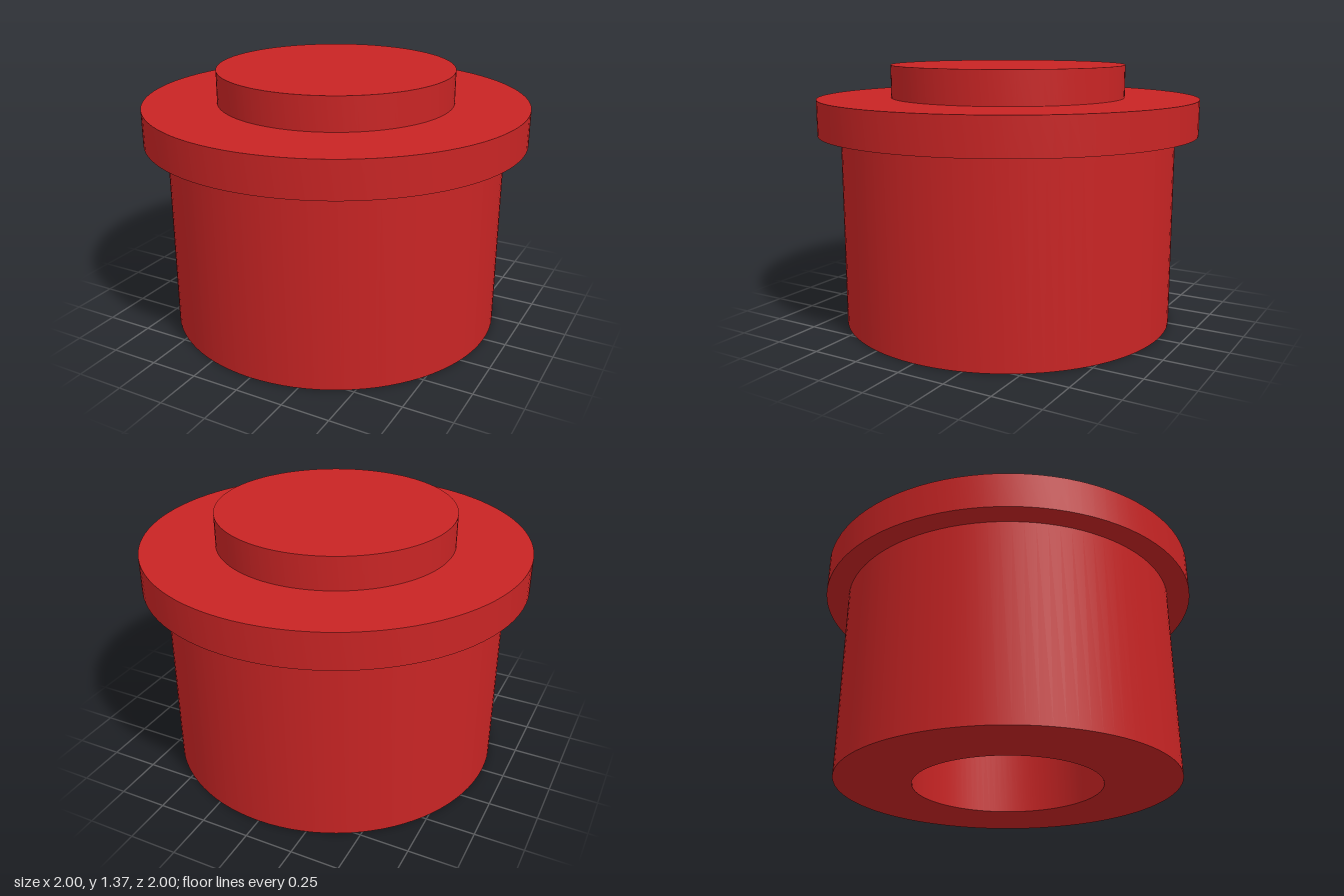
import * as THREE from 'three';
import { toCreasedNormals } from 'three/addons/utils/BufferGeometryUtils.js';

const SEGMENTS = 96;

export function createModel() {
  const group = new THREE.Group();
  group.name = 'flangedPlug';

  const red = new THREE.MeshStandardMaterial({ color: 0xc82424 });
  red.name = 'red';

  // Revolve a [radius, height] profile, keeping its corners sharp
  function addTurned(name, profile) {
    const points = profile.map(([r, y]) => new THREE.Vector2(r, y));
    const geometry = toCreasedNormals(new THREE.LatheGeometry(points, SEGMENTS), Math.PI / 6);
    const mesh = new THREE.Mesh(geometry, red);
    mesh.name = name;
    group.add(mesh);
  }

  // Main barrel with a blind bore in its underside
  addTurned('body', [[0, 0.437], [0.49, 0.437], [0.49, 0], [0.882, 0], [0.882, 1.01]]);

  // Wide collar, open where it meets the body and the cap
  addTurned('flange', [[0.882, 1.01], [1, 1.01], [1, 1.195], [0.617, 1.195]]);

  // Raised disc on top
  addTurned('cap', [[0.617, 1.195], [0.617, 1.365], [0, 1.365]]);

  return group;
}
